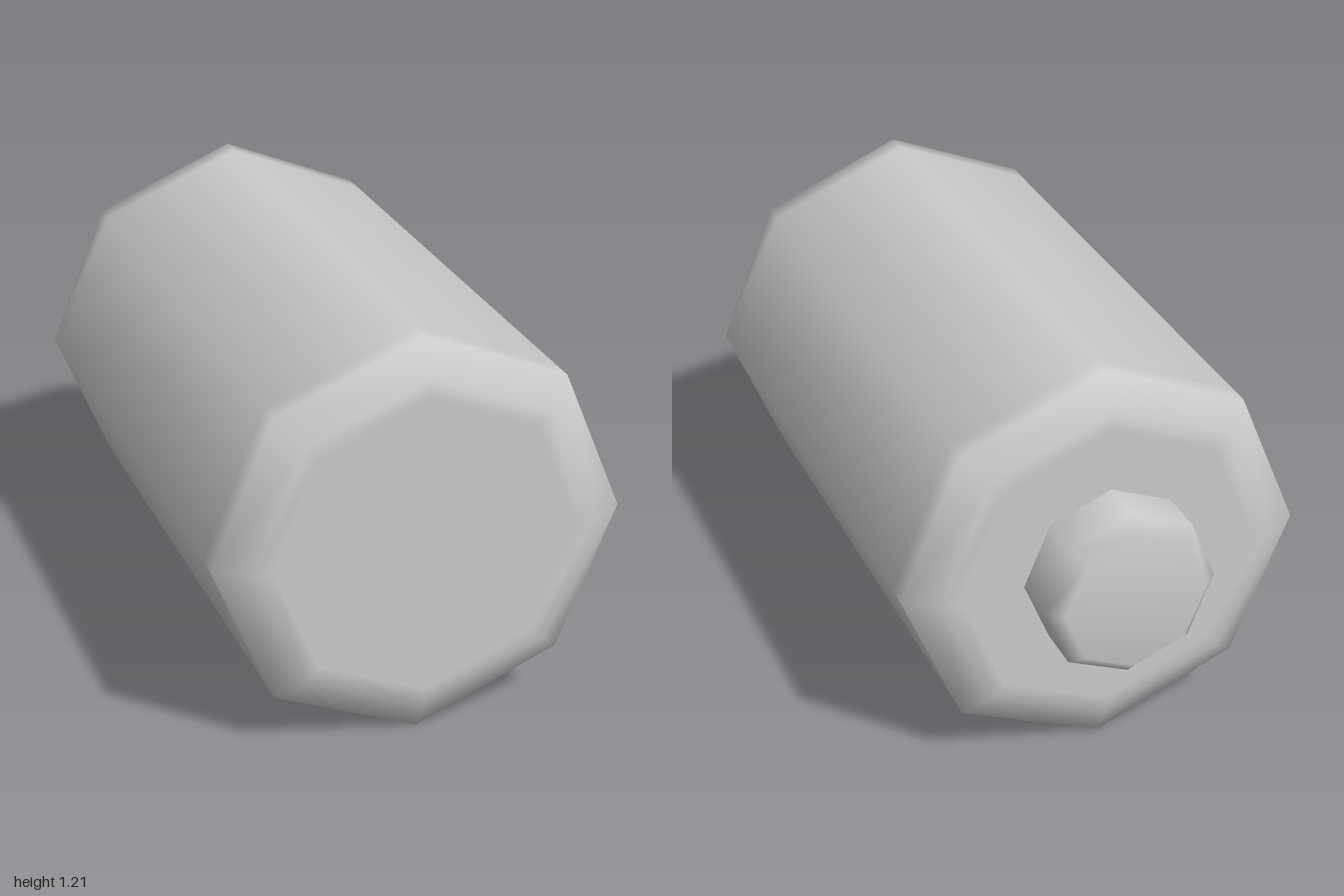
import * as THREE from 'three';

const SIDES = 8;
const CENTRE_Y = 0.605;

// Eight-sided smooth solid turned around the z axis; profile is [radius, z] from back to front
function turned(name, profile, material) {
  const points = profile.map(([r, z]) => new THREE.Vector2(r, z));
  const geometry = new THREE.LatheGeometry(points, SIDES).rotateX(Math.PI / 2);
  const mesh = new THREE.Mesh(geometry, material);
  mesh.name = name;
  mesh.position.y = CENTRE_Y;
  return mesh;
}

export function createModel() {
  const model = new THREE.Group();
  model.name = 'battery';
  const grey = new THREE.MeshStandardMaterial({ color: 0xcccccc });

  // Main casing: bevelled at both ends, with support loops that keep the faces flat
  model.add(turned('casing', [
    [0, -0.815], [0.45, -0.815], [0.505, -0.815],
    [0.605, -0.76], [0.605, -0.69],
    [0.605, 0.87], [0.605, 0.937],
    [0.505, 1], [0.45, 1], [0, 1],
  ], grey));

  // Raised contact on the back end
  model.add(turned('terminal', [
    [0, -1], [0.215, -1], [0.26, -0.955], [0.26, -0.81],
  ], grey));

  return model;
}
